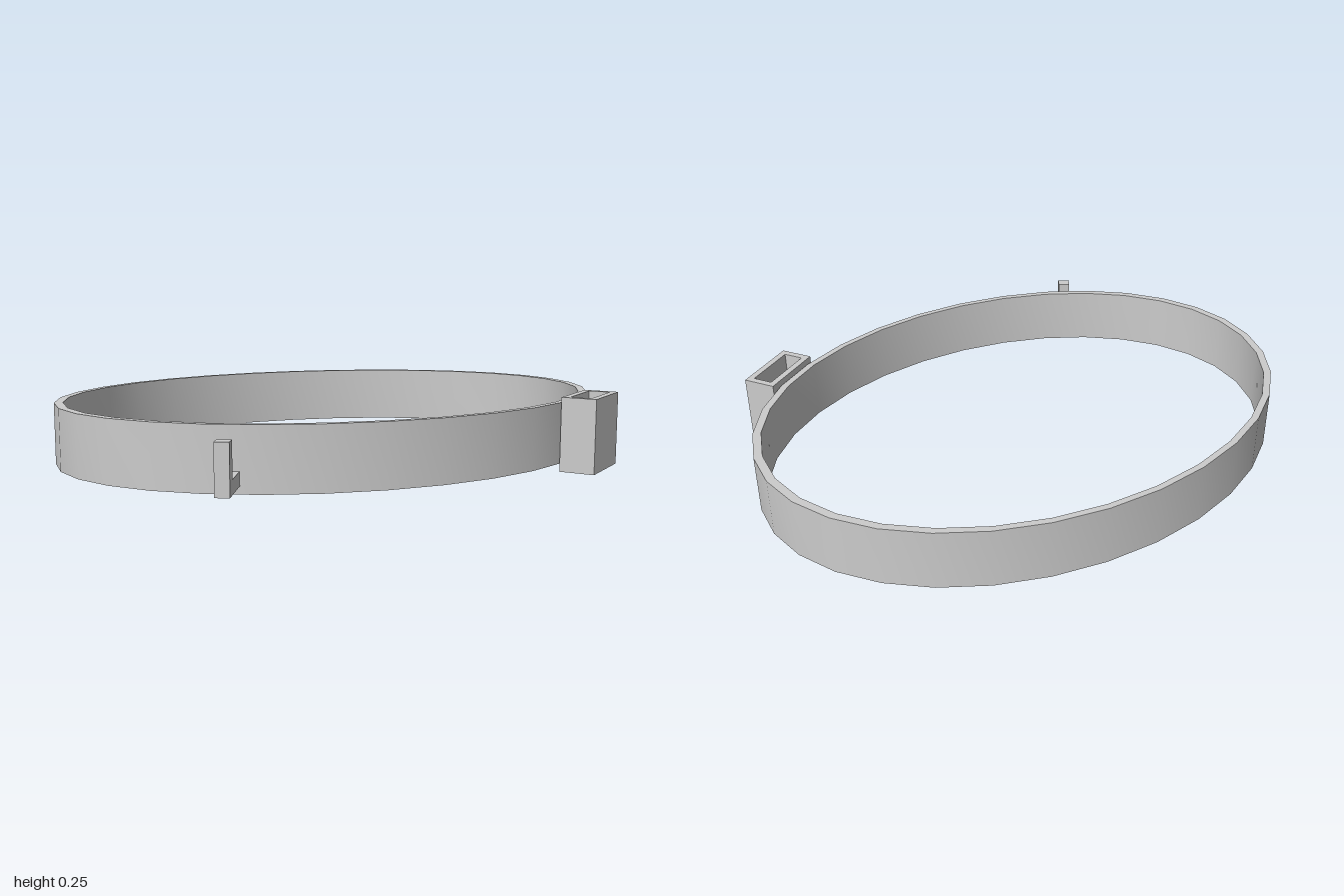
import * as THREE from 'three';
import { toCreasedNormals } from 'three/addons/utils/BufferGeometryUtils.js';

const material = new THREE.MeshStandardMaterial({ color: 0xcccccc });

function part(name, geometry, parent) {
  const mesh = new THREE.Mesh(geometry, material);
  mesh.name = name;
  parent.add(mesh);
  return mesh;
}

function rectangle(Type, w, h) {
  return new Type([[-1, -1], [1, -1], [1, 1], [-1, 1]].map(([x, y]) => new THREE.Vector2(x * w / 2, y * h / 2)));
}

export function createModel() {
  const model = new THREE.Group();
  const tilt = 0.557;

  // Oval band: closed rectangular section turned in 32 steps, then squashed
  const section = [[1, 0.025], [1, 0.235], [0.97, 0.235], [0.97, 0.025], [1, 0.025]];
  const band = new THREE.LatheGeometry(section.map(([r, y]) => new THREE.Vector2(r, y)), 32);
  band.scale(1, 1, 0.755);
  part('band', toCreasedNormals(band, 0.6), model);

  // Open-topped pocket on the left of the front
  const pocket = new THREE.Group();
  pocket.name = 'pocket';
  pocket.position.set(0.673, 0, 0.63);
  pocket.rotation.y = tilt;
  model.add(pocket);
  const frame = rectangle(THREE.Shape, 0.247, 0.12);
  frame.holes.push(rectangle(THREE.Path, 0.2, 0.073));
  const walls = new THREE.ExtrudeGeometry(frame, { depth: 0.23, bevelEnabled: false });
  walls.rotateX(-Math.PI / 2);
  part('pocketWalls', walls, pocket).position.y = 0.025;
  part('pocketFloor', new THREE.BoxGeometry(0.247, 0.025, 0.12), pocket).position.y = 0.0125;

  // L-shaped hook pointing outward on the right of the front
  const profile = new THREE.Shape([[-0.18, 0.05], [0, 0.05], [0, 0.21], [-0.045, 0.21], [-0.045, 0.095], [-0.18, 0.095]]
    .map(([x, y]) => new THREE.Vector2(x, y)));
  const hook = new THREE.ExtrudeGeometry(profile, { depth: 0.045, bevelEnabled: false });
  hook.translate(0, 0, -0.0225);
  hook.rotateY(-Math.PI / 2); // profile x now runs along +z
  const hookMesh = part('hook', hook, model);
  hookMesh.position.set(-0.72, 0, 0.722);
  hookMesh.rotation.y = -tilt;

  return model;
}
